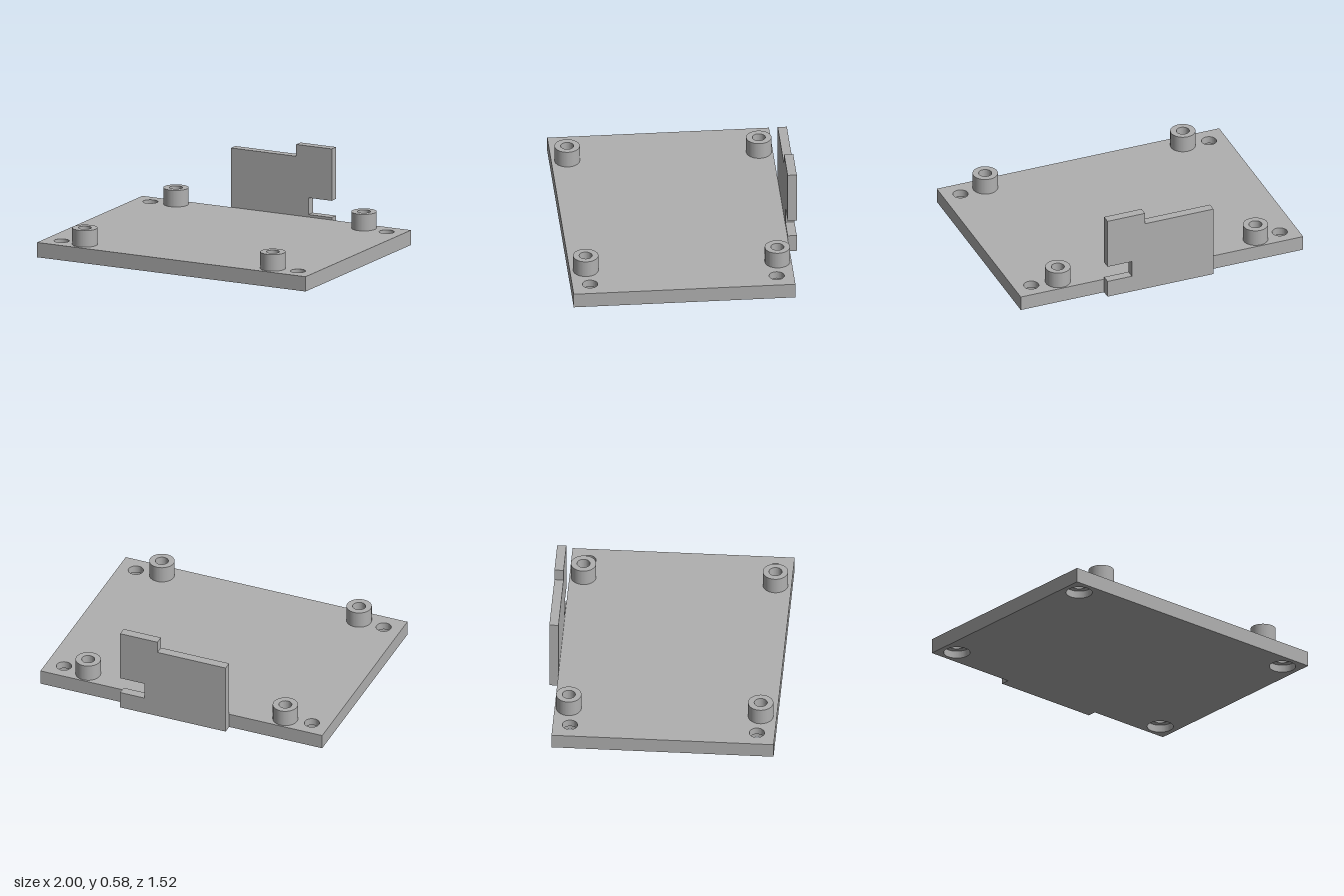
import * as THREE from 'three';

const HOLE_X = 0.88, HOLE_Z = [-0.587, 0.642];
const POST_X = 0.7, POST_Z = [-0.607, 0.655];
const BACK = -0.7, FRONT = 0.76;

// Horizontal plate layer with four round corner holes
function plateLayer(y, height, holeRadius) {
  const shape = new THREE.Shape([
    new THREE.Vector2(-1, -FRONT), new THREE.Vector2(1, -FRONT),
    new THREE.Vector2(1, -BACK), new THREE.Vector2(-1, -BACK),
  ]);
  for (const x of [-HOLE_X, HOLE_X]) {
    for (const z of HOLE_Z) {
      shape.holes.push(new THREE.Path().absarc(x, -z, holeRadius, 0, Math.PI * 2, true));
    }
  }
  const geometry = new THREE.ExtrudeGeometry(shape, { depth: height, bevelEnabled: false, curveSegments: 32 });
  return geometry.rotateX(-Math.PI / 2).translate(0, y, 0);
}

// Hollow round post standing on the plate
function postGeometry(outer, inner, height) {
  const ring = new THREE.Shape().absarc(0, 0, outer, 0, Math.PI * 2, false);
  ring.holes.push(new THREE.Path().absarc(0, 0, inner, 0, Math.PI * 2, true));
  const geometry = new THREE.ExtrudeGeometry(ring, { depth: height, bevelEnabled: false, curveSegments: 32 });
  return geometry.rotateX(-Math.PI / 2);
}

export function createModel() {
  const model = new THREE.Group();
  const grey = new THREE.MeshStandardMaterial({ color: 0xb0b0b0 });
  grey.name = 'grey';

  const add = (name, geometry, parent = model) => {
    const mesh = new THREE.Mesh(geometry, grey);
    mesh.name = name;
    parent.add(mesh);
    return mesh;
  };

  // Base plate: wide counterbores below, narrow screw holes above
  const base = new THREE.Group();
  base.name = 'basePlate';
  model.add(base);
  add('counterboredLayer', plateLayer(0, 0.05, 0.086), base);
  add('screwHoleLayer', plateLayer(0.05, 0.05, 0.05), base);

  // Four standoff posts with blind bores
  const post = postGeometry(0.083, 0.043, 0.112);
  for (const x of [-POST_X, POST_X]) {
    for (const z of POST_Z) add('standoffPost', post).position.set(x, 0.1, z);
  }

  // Upright stepped and notched bracket on the back edge
  const outline = [
    [-0.34, 0], [0.41, 0], [0.41, 0.117], [0.237, 0.117], [0.237, 0.23],
    [0.41, 0.23], [0.41, 0.58], [0.145, 0.58], [0.145, 0.5], [-0.34, 0.5],
  ].map(([x, y]) => new THREE.Vector2(x, y));
  const bracket = new THREE.ExtrudeGeometry(new THREE.Shape(outline), { depth: 0.06, bevelEnabled: false });
  add('backBracket', bracket.translate(0, 0, -0.76));

  return model;
}
